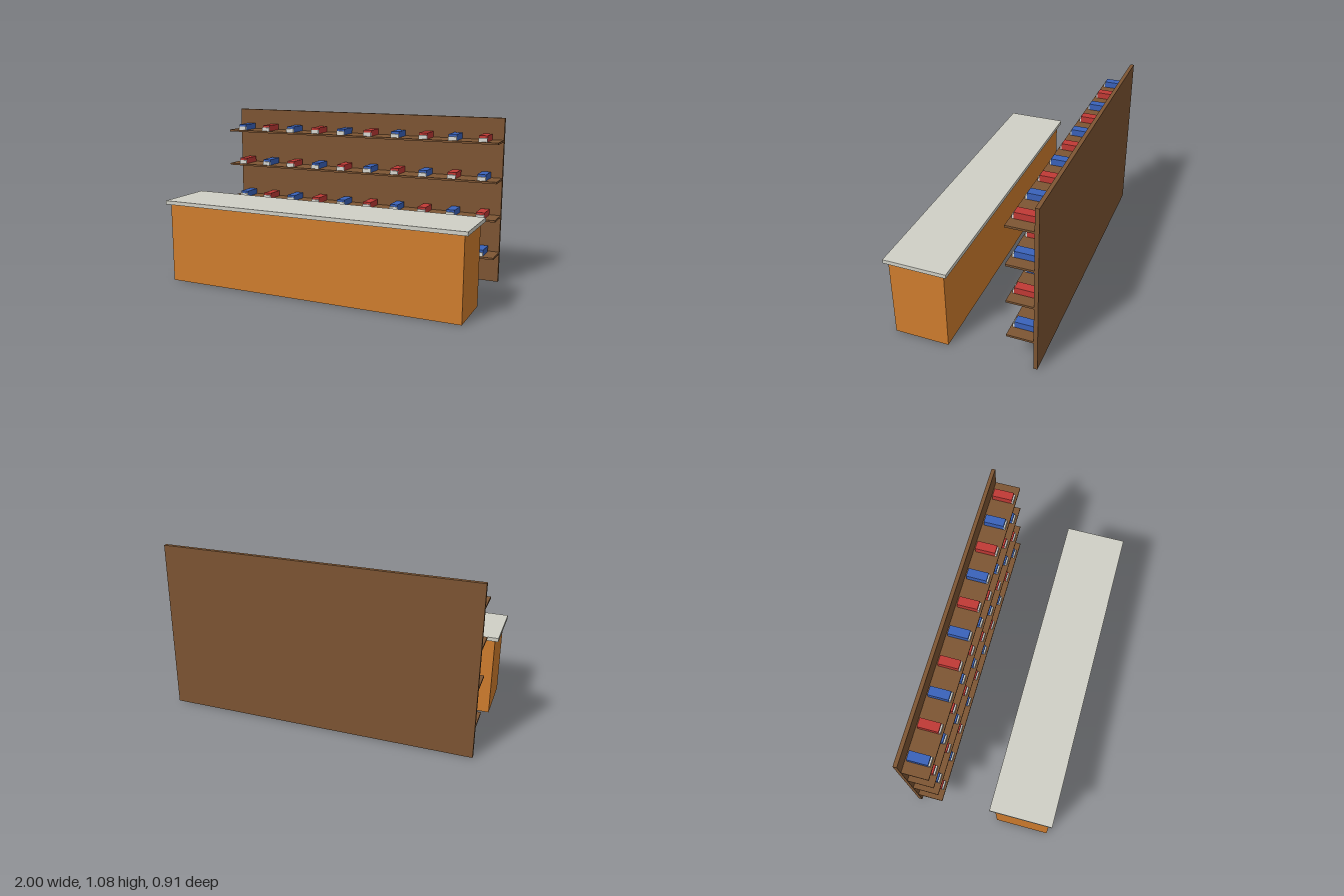
import * as THREE from 'three';

const paint = (color) => new THREE.MeshStandardMaterial({ color });
const wood = paint(0x7d5533);
const orange = paint(0xd07d2e);
const stone = paint(0xd0d0c6);
const blue = paint(0x3a62ba);
const red = paint(0xc03a35);
const white = paint(0xd8d8d2);

// Box given by its x centre, x width, and y and z ranges
function box(name, material, x, width, [y0, y1], [z0, z1]) {
  const mesh = new THREE.Mesh(new THREE.BoxGeometry(width, y1 - y0, z1 - z0), material);
  mesh.name = name;
  mesh.position.set(x, (y0 + y1) / 2, (z0 + z1) / 2);
  return mesh;
}

export function createModel() {
  const model = new THREE.Group();
  model.name = 'shoeCounter';

  // Service counter with an overhanging top
  const counter = new THREE.Group();
  counter.name = 'counter';
  counter.add(
    box('counterBody', orange, 0, 1.954, [0, 0.514], [0.093, 0.436]),
    box('counterTop', stone, 0, 2, [0.514, 0.538], [0.068, 0.458]),
  );
  model.add(counter);

  // Back wall
  model.add(box('backPanel', wood, 0, 1.954, [0, 1.075], [-0.457, -0.433]));

  // Four shelves, each with ten shoes in alternating colours
  for (let row = 0; row < 4; row++) {
    const top = 0.202 + row * 0.2443;
    const shelf = new THREE.Group();
    shelf.name = `shelf${row + 1}`;
    shelf.add(box('shelfBoard', wood, 0, 1.954, [top - 0.0125, top], [-0.433, -0.271]));
    for (let i = 0; i < 10; i++) {
      const x = (i - 4.5) * 0.195;
      const shoe = new THREE.Group();
      shoe.name = 'shoe';
      shoe.add(
        box('shoeBody', (row + i) % 2 ? blue : red, x, 0.056, [top, top + 0.039], [-0.42, -0.293]),
        box('shoeToe', white, x, 0.056, [top, top + 0.0245], [-0.293, -0.283]),
      );
      shelf.add(shoe);
    }
    model.add(shelf);
  }
  return model;
}
